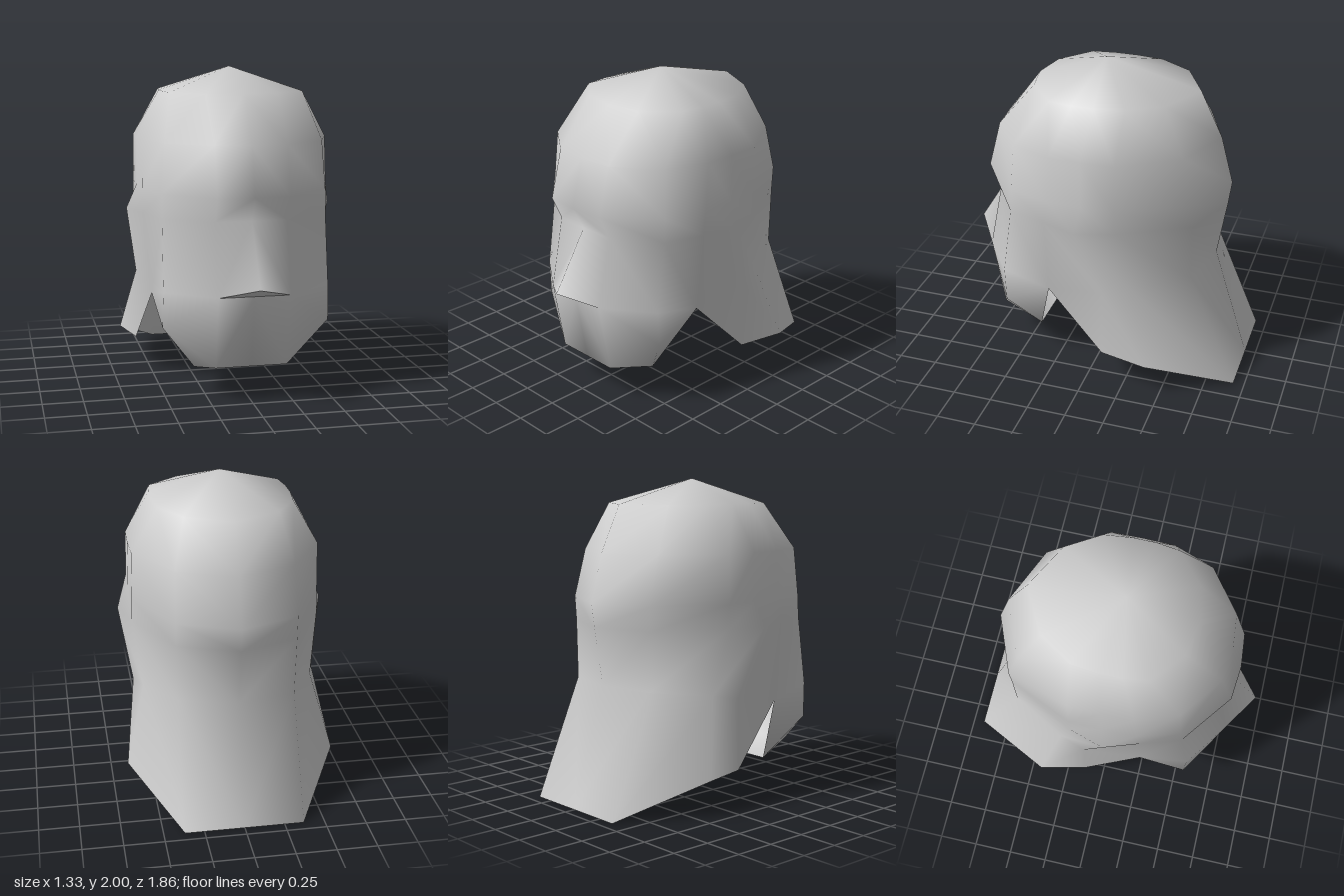
import * as THREE from 'three';

// Half cross-sections of the shell, top to bottom; each runs from the front centre
// round the model's left side to the back centre as [x, y, z].
const notch = [0.54, 0.6, 0.26]; // cut between the cheek and the neck guard
const noseTip = [0, 0.74, 0.93];
const noseCorner = [0.22, 0.67, 0.78];
const level = (y, xz) => xz.map(([x, z]) => [x, y, z]);
const crown = level(1.85, [[0, 0.48], [0.22, 0.44], [0.42, 0.27], [0.44, 0.12], [0.44, -0.02], [0.42, -0.2], [0.29, -0.41], [0, -0.56]]);
const forehead = level(1.56, [[0, 0.7], [0.22, 0.68], [0.49, 0.48], [0.585, 0.22], [0.59, 0.02], [0.585, -0.19], [0.36, -0.55], [0, -0.7]]);
const brow = level(1.26, [[0, 0.78], [0.22, 0.76], [0.51, 0.5], [0.59, 0.24], [0.595, 0.02], [0.59, -0.19], [0.37, -0.63], [0, -0.78]]);
const ears = level(1.11, [[0, 0.7], [0.22, 0.69], [0.51, 0.51], [0.59, 0.26], [0.665, 0.04], [0.595, -0.19], [0.37, -0.62], [0, -0.76]]);
const cheeks = [noseCorner, [0.515, 0.67, 0.57], notch, [0.59, 0.67, -0.11], [0.54, 0.7, -0.28], [0.36, 0.74, -0.62], [0, 0.74, -0.7]];
const nose = [noseTip, ...cheeks];
const lip = [[0, 0.67, 0.78], ...cheeks];
const jaw = [[0, 0.22, 0.7], [0.22, 0.22, 0.7], [0.52, 0.45, 0.56], notch,
  [0.595, 0.22, -0.11], [0.665, 0.22, -0.41], [0.37, 0, -0.93], [0, 0, -0.93]]; // back half is the flared neck guard
const chin = [[0, 0.15, 0.41], [0.3, 0.15, 0.41], [0.3, 0.15, 0.41], notch];

function buildGeometry(positions, index) {
  const geometry = new THREE.BufferGeometry();
  geometry.setAttribute('position', new THREE.Float32BufferAttribute(positions, 3));
  geometry.setIndex(index);
  geometry.computeVertexNormals();
  return geometry;
}

function shellGeometry(bands) {
  const positions = [], index = [], known = new Map();
  // Shared vertices keep the shading smooth across both halves
  const vertex = ([x, y, z], side) => {
    const p = [x === 0 ? 0 : x * side, y, z];
    const key = p.join();
    if (!known.has(key)) {
      known.set(key, positions.length / 3);
      positions.push(...p);
    }
    return known.get(key);
  };
  const triangle = (side, ...points) => {
    const [a, b, c] = points.map((p) => vertex(p, side));
    if (a === b || b === c || c === a) return; // collapsed corner
    index.push(...(side > 0 ? [a, b, c] : [a, c, b]));
  };
  for (const side of [1, -1]) {
    // Fan round the top of the head
    for (let j = 0; j < 7; j++) triangle(side, [0, 2, 0.04], crown[j], crown[j + 1]);
    // Strips between neighbouring cross-sections
    for (const rows of bands) {
      for (let i = 0; i + 1 < rows.length; i++) {
        const upper = rows[i], lower = rows[i + 1];
        for (let j = 0; j + 1 < lower.length; j++) {
          triangle(side, upper[j], lower[j], lower[j + 1]);
          triangle(side, upper[j], lower[j + 1], upper[j + 1]);
        }
      }
    }
  }
  return buildGeometry(positions, index);
}

export function createModel() {
  const group = new THREE.Group();
  group.name = 'helmet';
  const paleGrey = new THREE.MeshStandardMaterial({ color: 0xcccccc, side: THREE.DoubleSide });
  paleGrey.name = 'paleGrey';
  const add = (name, geometry) => {
    const mesh = new THREE.Mesh(geometry, paleGrey);
    mesh.name = name;
    group.add(mesh);
  };
  add('helmetShell', shellGeometry([[crown, forehead, brow, ears, nose], [lip, jaw, chin]]));
  // Sharp-edged underside of the nose
  const [x, y, z] = noseCorner;
  add('noseUnderside', buildGeometry([...noseTip, -x, y, z, x, y, z], [0, 1, 2]));
  return group;
}
